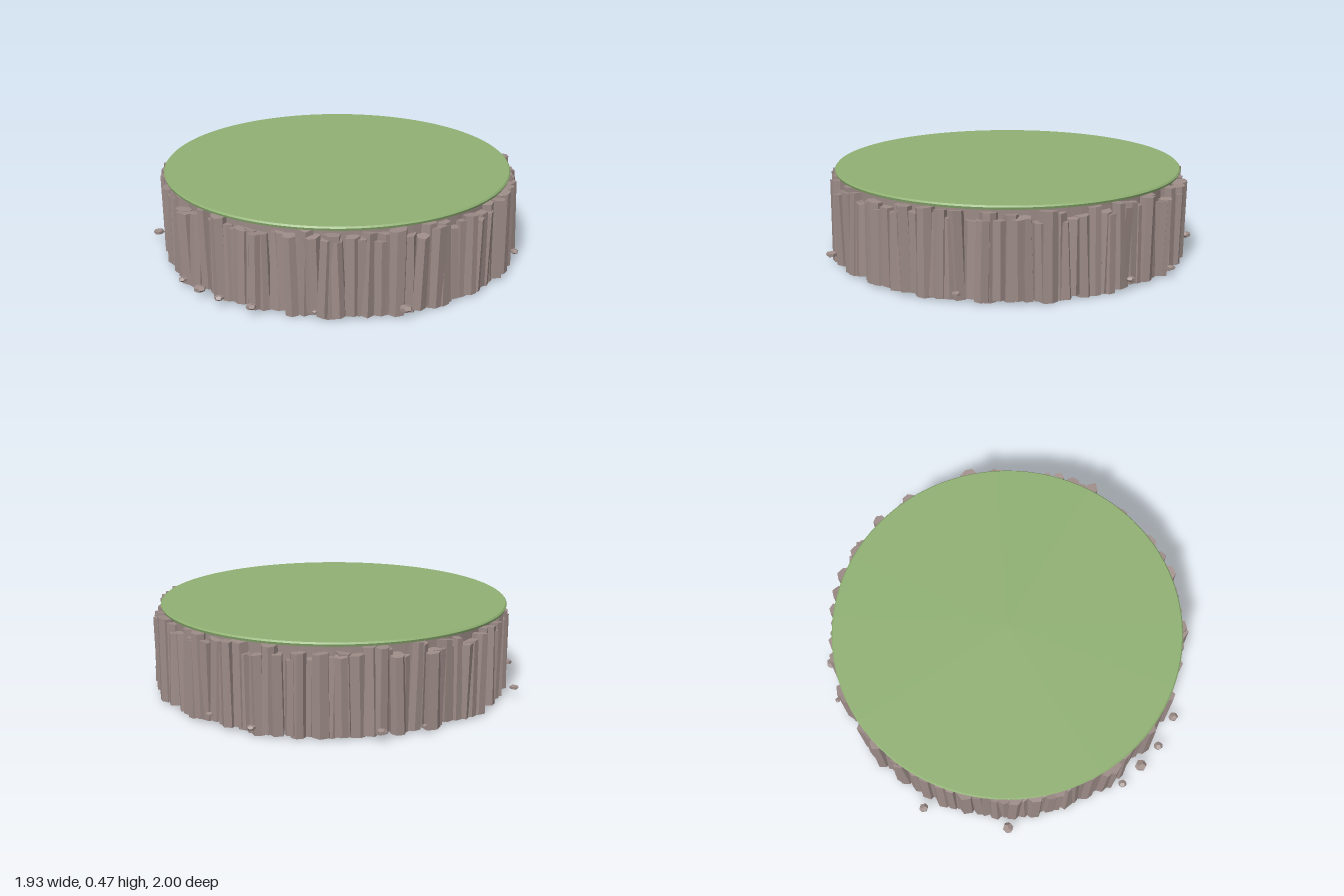
import * as THREE from 'three';

// Small seeded generator for the natural variation
function seeded(seed) {
  let s = seed;
  return (a = 0, b = 1) => {
    s = (s * 1664525 + 1013904223) % 4294967296;
    return a + (b - a) * (s / 4294967296);
  };
}

// Irregular faceted rock pillar, slightly leaning and narrower at the top
function pillarGeometry(rand, radius, bottom, top) {
  const sides = 5 + Math.floor(rand(0, 3));
  const reach = Array.from({ length: sides }, () => radius * rand(0.82, 1.1));
  const taper = rand(0.86, 1.02);
  const leanX = rand(-0.014, 0.014), leanZ = rand(-0.014, 0.014);
  const slopeX = rand(-0.15, 0.15), slopeZ = rand(-0.15, 0.15);
  const geo = new THREE.CylinderGeometry(1, 1, 1, sides).toNonIndexed();
  const p = geo.attributes.position;
  for (let i = 0; i < p.count; i++) {
    const x = p.getX(i), z = p.getZ(i), upper = p.getY(i) > 0;
    const step = Math.round(Math.atan2(x, z) / (Math.PI * 2) * sides);
    const r = reach[(step + sides) % sides] * (upper ? taper : 1);
    const px = x * r, pz = z * r;
    if (upper) p.setXYZ(i, px + leanX, top + px * slopeX + pz * slopeZ, pz + leanZ);
    else p.setXYZ(i, px, bottom, pz);
  }
  geo.computeVertexNormals();
  return geo;
}

export function createModel() {
  const model = new THREE.Group();
  model.name = 'grassyPlateau';
  const rand = seeded(2718);
  const grass = new THREE.MeshStandardMaterial({ name: 'grass green', color: 0x8fb072 });
  const rock = new THREE.MeshStandardMaterial({ name: 'rock brown', color: 0x9c8b87, flatShading: true });

  // Solid rock core
  const core = new THREE.Mesh(new THREE.CylinderGeometry(0.885, 0.875, 0.435, 64), rock);
  core.name = 'rockCore';
  core.position.set(-0.005, 0.2325, 0);
  model.add(core);

  // Thin grass disc with a small bevelled rim
  const turf = new THREE.Group();
  turf.name = 'grassTop';
  turf.position.set(-0.015, 0, -0.005);
  const addTurf = (name, rTop, rBottom, y0, y1) => {
    const m = new THREE.Mesh(new THREE.CylinderGeometry(rTop, rBottom, y1 - y0, 96), grass);
    m.name = name;
    m.position.y = (y0 + y1) / 2;
    turf.add(m);
  };
  addTurf('grassRim', 0.924, 0.92, 0.45, 0.462);
  addTurf('grassSurface', 0.917, 0.924, 0.462, 0.47);
  model.add(turf);

  // Ring of upright rock pillars
  const cliff = new THREE.Group();
  cliff.name = 'cliffPillars';
  const count = 124;
  for (let i = 0; i < count; i++) {
    const a = (i + rand(-0.35, 0.35)) / count * Math.PI * 2;
    const size = rand(0.034, 0.052);
    const outer = rand(0.925, 0.962);
    const geo = pillarGeometry(rand, size, rand(0.002, 0.022), rand(0.385, 0.448));
    const pillar = new THREE.Mesh(geo, rock);
    pillar.name = 'pillar';
    pillar.position.set(Math.sin(a) * (outer - size), 0, Math.cos(a) * (outer - size));
    pillar.rotation.y = rand(0, 6.28);
    cliff.add(pillar);
  }
  model.add(cliff);

  // Flattened pebbles around the foot: x, z, radius
  const pebbles = new THREE.Group();
  pebbles.name = 'pebbles';
  const spots = [
    [0.03, -0.985, 0.015], [0.25, -0.955, 0.03], [0.76, -0.615, 0.024], [0.86, -0.35, 0.024],
    [-0.95, -0.33, 0.03], [-0.93, 0.33, 0.023], [-0.87, 0.46, 0.033], [-0.8, 0.59, 0.025],
    [-0.675, 0.73, 0.027], [0.02, 0.968, 0.032], [-0.7, -0.72, 0.025], [0.81, 0.51, 0.023],
    [-0.4, 0.87, 0.014],
  ];
  for (const [x, z, r] of spots) {
    const pebble = new THREE.Mesh(new THREE.DodecahedronGeometry(r), rock);
    pebble.name = 'pebble';
    pebble.position.set(x, 0.052, z);
    pebble.scale.y = 0.55;
    pebble.rotation.y = rand(0, 6.28);
    pebbles.add(pebble);
  }
  model.add(pebbles);
  return model;
}
